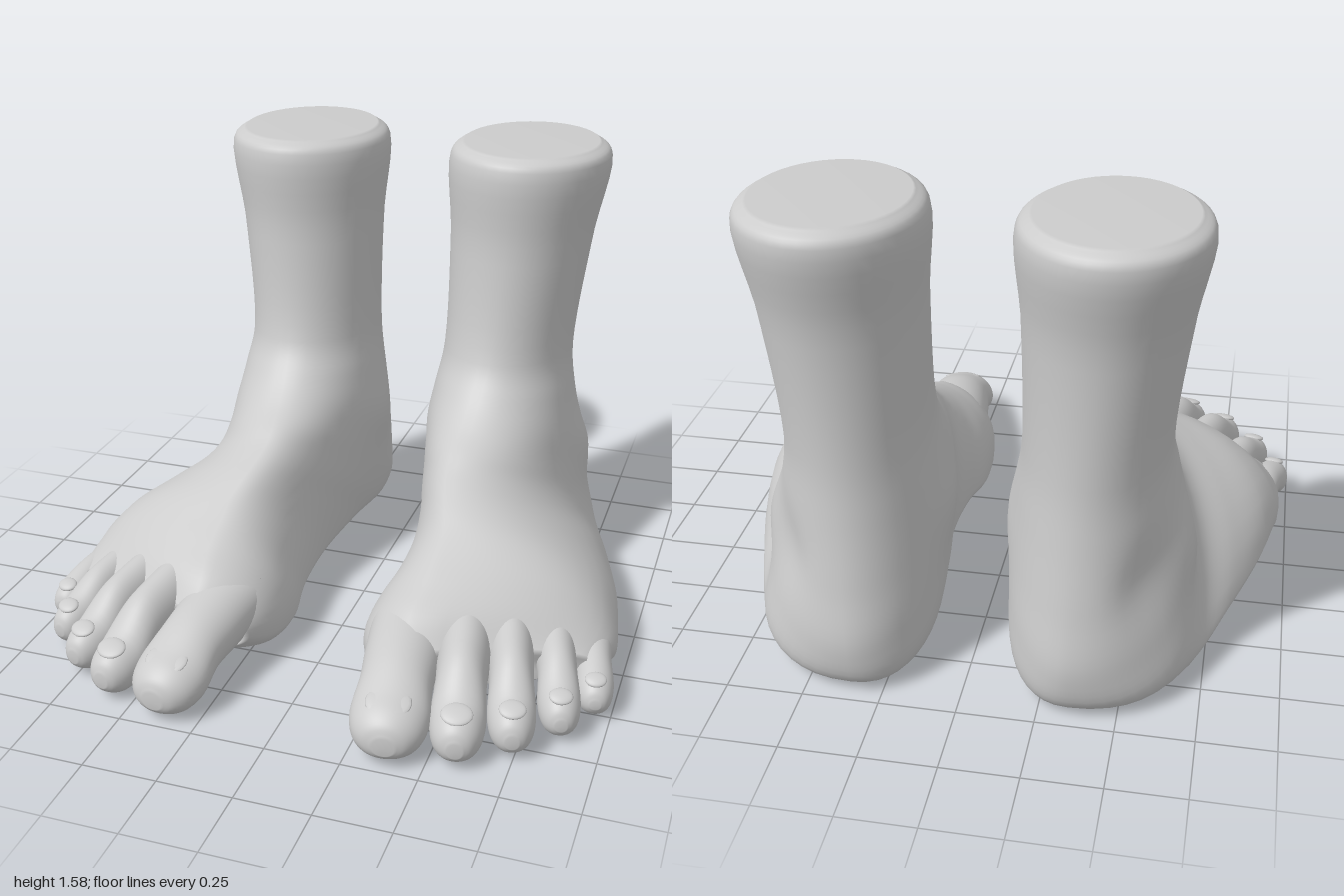
import * as THREE from 'three';

const skin = new THREE.MeshStandardMaterial({ color: 0xcccccc, roughness: 0.8 });
const SIDES = 44;
const { smoothstep } = THREE.MathUtils;

// One cross-section: four superellipse quarters between a top (front) point and a bottom (back) point.
// wide: height of the widest point 0..1, skewOut/skewIn: slant in plan, square: squareness of the lower half
function section({ tz, ty, bz, by, xin, xout, cx, wide, skewOut, skewIn, square }) {
  const pts = [];
  for (let j = 0; j < SIDES; j++) {
    const a = (j / SIDES) * Math.PI * 2, c = Math.cos(a), s = Math.sin(a);
    const n = s > 0 ? 2 : square;
    const u = Math.sign(c) * Math.abs(c) ** (2 / n), v = Math.sign(s) * Math.abs(s) ** (2 / n);
    const dx = u * (u > 0 ? xout - cx : cx - xin);
    const k = wide + v * (v > 0 ? 1 - wide : wide);
    const z = bz + (tz - bz) * k - dx * (dx > 0 ? skewOut : skewIn);
    pts.push(new THREE.Vector3(cx + dx, by + (ty - by) * k, z));
  }
  return pts;
}

// Smooth closed skin through the sections; mirror is 1 or -1, shape may move each point
function loft(sections, steps, mirror, shape = (p) => p) {
  const rings = sections.map(section);
  const curves = rings[0].map((_, j) => new THREE.CatmullRomCurve3(rings.map((r) => r[j])));
  const rows = [];
  for (let i = 0; i <= steps; i++) rows.push(curves.map((c) => shape(c.getPoint(i / steps))));
  const centre = (row) => {
    const m = new THREE.Vector3();
    row.forEach((p) => m.addScaledVector(p, 1 / SIDES));
    return row.map(() => m);
  };
  rows.unshift(centre(rows[0]));
  rows.push(centre(rows[rows.length - 1]));
  const pos = [], index = [];
  rows.forEach((row) => row.forEach((p) => pos.push(p.x * mirror, p.y, p.z)));
  for (let i = 0; i < rows.length - 1; i++) {
    for (let j = 0; j < SIDES; j++) {
      const a = i * SIDES + j, b = i * SIDES + ((j + 1) % SIDES), c = a + SIDES, d = b + SIDES;
      if (mirror > 0) index.push(a, b, c, b, d, c);
      else index.push(a, c, b, b, c, d);
    }
  }
  const g = new THREE.BufferGeometry();
  g.setAttribute('position', new THREE.Float32BufferAttribute(pos, 3));
  g.setIndex(index);
  g.computeVertexNormals();
  return g;
}

// Leg, heel and foot: the sections swing from level at the shin to upright at the ball of the foot.
// top z/y, bottom z/y, inner x, outer x, crest x
const BODY = [
  [-0.37, 1.59, -0.94, 1.59, 0.18, 0.66, 0.42],
  [-0.32, 1.555, -0.99, 1.55, 0.135, 0.705, 0.42],
  [-0.32, 1.25, -0.94, 1.25, 0.145, 0.66, 0.41],
  [-0.26, 0.85, -0.92, 0.8, 0.145, 0.615, 0.38],
  [-0.19, 0.75, -0.935, 0.6, 0.125, 0.635, 0.37],
  [-0.1, 0.675, -0.965, 0.38, 0.11, 0.66, 0.36],
  [0, 0.62, -0.99, 0.18, 0.11, 0.685, 0.35],
  [0.06, 0.585, -0.95, 0.04, 0.115, 0.715, 0.35],
  [0.12, 0.555, -0.8, 0.01, 0.13, 0.75, 0.36],
  [0.2, 0.515, -0.5, 0.035, 0.165, 0.83, 0.38],
  [0.28, 0.47, -0.15, 0.04, 0.19, 0.92, 0.4],
  [0.37, 0.425, 0.12, 0.03, 0.18, 0.955, 0.4],
  [0.48, 0.375, 0.34, 0.01, 0.15, 0.97, 0.4],
  [0.6, 0.315, 0.53, 0.02, 0.16, 0.965, 0.38],
  [0.68, 0.22, 0.66, 0.09, 0.22, 0.92, 0.38],
];

// Roundness follows the height of the crest: round leg, flat-soled foot, slanting row of knuckles
function bodySection([tz, ty, bz, by, xin, xout, cx]) {
  const front = 1 - smoothstep(ty, 0.3, 0.48);
  const tip = 1 - smoothstep(ty, 0.2, 0.42);
  const wide = 0.25 + 0.25 * smoothstep(ty, 0.5, 0.72) + 0.2 * tip;
  const square = 4 - 2 * smoothstep(ty, 0.48, 0.62) - 1.5 * tip;
  return { tz, ty, bz, by, xin, xout, cx, wide, skewOut: 0.45 * front, skewIn: -0.3 * front, square };
}

// Ankle bones (pushed out) and hollows: x, y, z, radius, push along x
const BUMPS = [
  [0.67, 0.46, -0.6, 0.13, 0.035],
  [0.1, 0.51, -0.55, 0.14, -0.02],
  [0.58, 0.45, -0.84, 0.12, -0.03],
];
function ankles(p) {
  const q = p.clone();
  for (const [x, y, z, r, push] of BUMPS) {
    const d = (p.x - x) ** 2 + (p.y - y) ** 2 + (p.z - z) ** 2;
    q.x += push * Math.exp(-d / (r * r));
  }
  return q;
}

// name, root x/z, tip x/z, half width, top height at root, knuckle and nail
const TOES = [
  ['bigToe', 0.315, 0.45, 0.385, 0.99, 0.122, 0.32, 0.265, 0.2],
  ['secondToe', 0.5, 0.42, 0.595, 0.935, 0.084, 0.33, 0.28, 0.185],
  ['middleToe', 0.63, 0.36, 0.75, 0.835, 0.072, 0.31, 0.26, 0.175],
  ['fourthToe', 0.755, 0.27, 0.875, 0.7, 0.064, 0.27, 0.23, 0.165],
  ['littleToe', 0.87, 0.16, 0.955, 0.55, 0.059, 0.2, 0.185, 0.15],
];

function toe([name, rx, rz, tx, tz, w, yRoot, yKnuckle, yNail], mirror) {
  const group = new THREE.Group();
  group.name = name;
  const skew = (tx - rx) / (tz - rz);
  // distance along the toe, width factor, top, bottom
  const rings = [
    [0, 1.05, yRoot, 0.1],
    [0.35, 1, (yRoot + yKnuckle) / 2, 0.08],
    [0.57, 0.95, yKnuckle, 0.065],
    [0.78, 1.03, yNail * 1.08, 0.025],
    [0.9, 0.88, yNail * 0.95, 0.022],
    [0.97, 0.6, yNail * 0.8, 0.042],
    [1, 0.28, yNail * 0.62, 0.062],
  ].map(([t, f, ty, by]) => {
    const cx = rx + (tx - rx) * t, z = rz + (tz - rz) * t;
    const shape = { wide: 0.48, skewOut: skew, skewIn: skew, square: 2.2 };
    return { tz: z, ty, bz: z, by, xin: cx - w * f, xout: cx + w * f, cx, ...shape };
  });
  const flesh = new THREE.Mesh(loft(rings, 26, mirror), skin);
  flesh.name = name + 'Flesh';
  // Nail: a thin shell lying on the sloping tip
  const nail = new THREE.Mesh(new THREE.SphereGeometry(1, 20, 12), skin);
  nail.name = name + 'Nail';
  const back = w * 0.8;
  nail.scale.set(w * 0.6, 0.012, w * 0.5);
  nail.position.set(mirror * (tx - skew * back), yNail * 0.96, tz - back);
  nail.rotation.set(0.36, mirror * Math.atan(skew), 0, 'YXZ');
  group.add(flesh, nail);
  return group;
}

export function createModel() {
  const model = new THREE.Group();
  model.name = 'pairOfFeet';
  for (const mirror of [1, -1]) {
    const foot = new THREE.Group();
    foot.name = mirror > 0 ? 'leftFoot' : 'rightFoot';
    const body = new THREE.Mesh(loft(BODY.map(bodySection), 80, mirror, ankles), skin);
    body.name = 'legAndFoot';
    foot.add(body, ...TOES.map((t) => toe(t, mirror)));
    model.add(foot);
  }
  return model;
}
